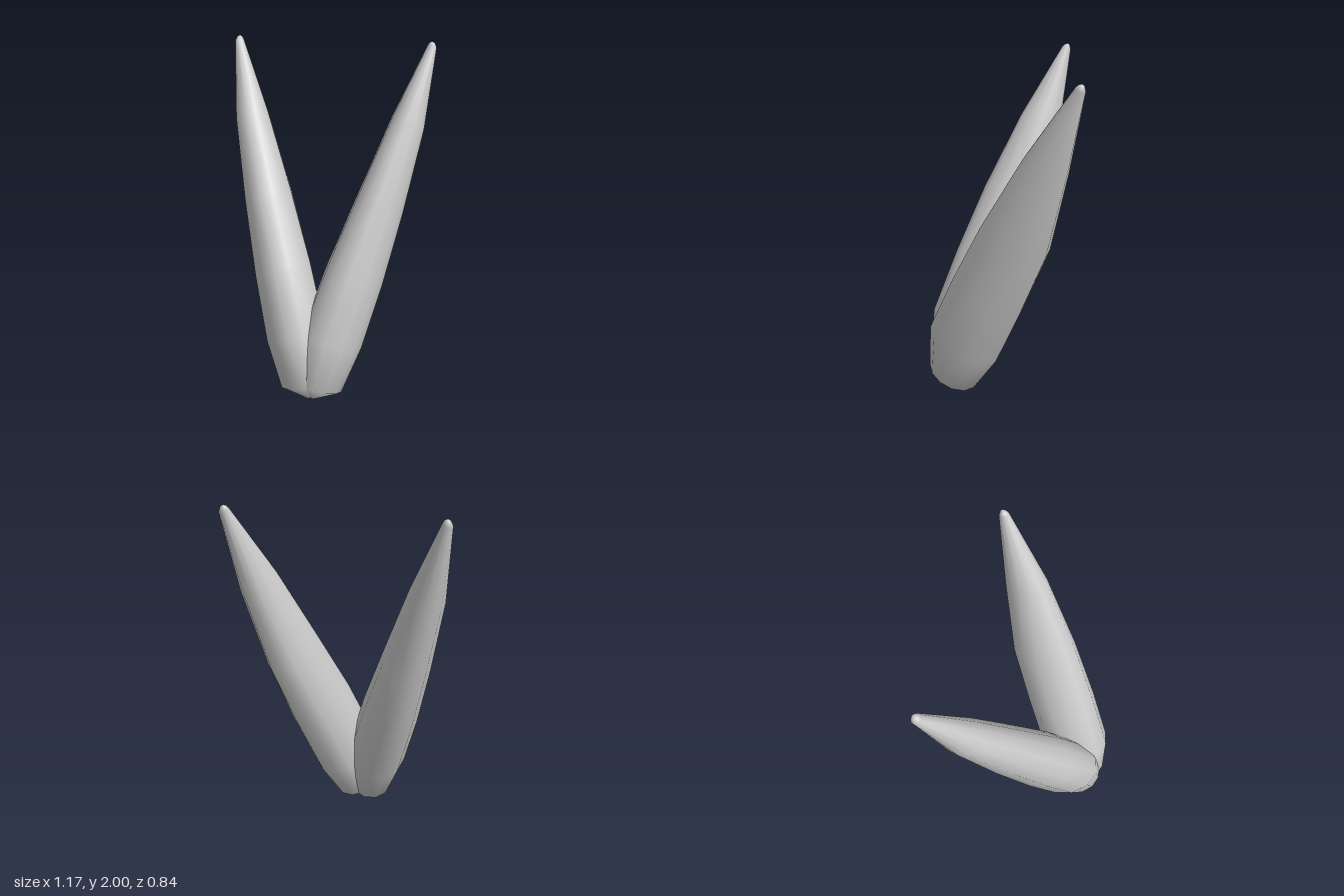
import * as THREE from 'three';

const SEGMENTS = 12;

// Oval rings from base to tip: centre x, y, z, half-width in x, half-depth in z,
// then the slope of the ring plane in x and z
const RINGS = [
  [0.04, 0.09, 0.275, 0.14, 0.145, -0.2, 0.4],
  [0.105, 0.365, 0.19, 0.175, 0.21, -0.25, 0.4],
  [0.212, 0.725, 0.055, 0.163, 0.205, -0.32, 0.37],
  [0.33, 1.12, -0.098, 0.135, 0.187, -0.3, 0.33],
  [0.455, 1.56, -0.245, 0.095, 0.115, -0.28, 0.35],
  [0.561, 1.972, -0.392, 0.026, 0.026, -0.25, 0.3],
  [0.561, 1.992, -0.396, 0.015, 0.015, -0.1, 0.1],
];
const BASE = [0.01, 0.003, 0.3];
const TIP = [0.561, 2.0, -0.397];

// Lofted, leaning horn; side is +1 for left and -1 for right
function hornGeometry(side) {
  const positions = [];
  const index = [];
  const point = (x, y, z) => positions.push(side * x, y, z);
  const face = (a, b, c) => (side > 0 ? index.push(a, b, c) : index.push(a, c, b));

  for (const [cx, cy, cz, rx, rz, slopeX, slopeZ] of RINGS) {
    for (let i = 0; i < SEGMENTS; i++) {
      const angle = (i / SEGMENTS) * Math.PI * 2;
      const dx = rx * Math.cos(angle);
      const dz = rz * Math.sin(angle);
      point(cx + dx, cy + slopeX * dx + slopeZ * dz, cz + dz);
    }
  }
  const base = RINGS.length * SEGMENTS;
  const tip = base + 1;
  point(...BASE);
  point(...TIP);

  const last = (RINGS.length - 1) * SEGMENTS;
  for (let i = 0; i < SEGMENTS; i++) {
    const next = (i + 1) % SEGMENTS;
    // Walls between neighbouring rings
    for (let r = 0; r < last; r += SEGMENTS) {
      const up = r + SEGMENTS;
      face(r + i, up + i, r + next);
      face(r + next, up + i, up + next);
    }
    // Closed base and tip
    face(base, i, next);
    face(tip, last + next, last + i);
  }

  const geometry = new THREE.BufferGeometry();
  geometry.setAttribute('position', new THREE.Float32BufferAttribute(positions, 3));
  geometry.setIndex(index);
  geometry.computeVertexNormals();
  return geometry;
}

export function createModel() {
  const model = new THREE.Group();
  model.name = 'hornPair';
  const material = new THREE.MeshStandardMaterial({ color: 0xcccccc });
  for (const [name, side] of [['leftHorn', 1], ['rightHorn', -1]]) {
    const horn = new THREE.Mesh(hornGeometry(side), material);
    horn.name = name;
    model.add(horn);
  }
  return model;
}
